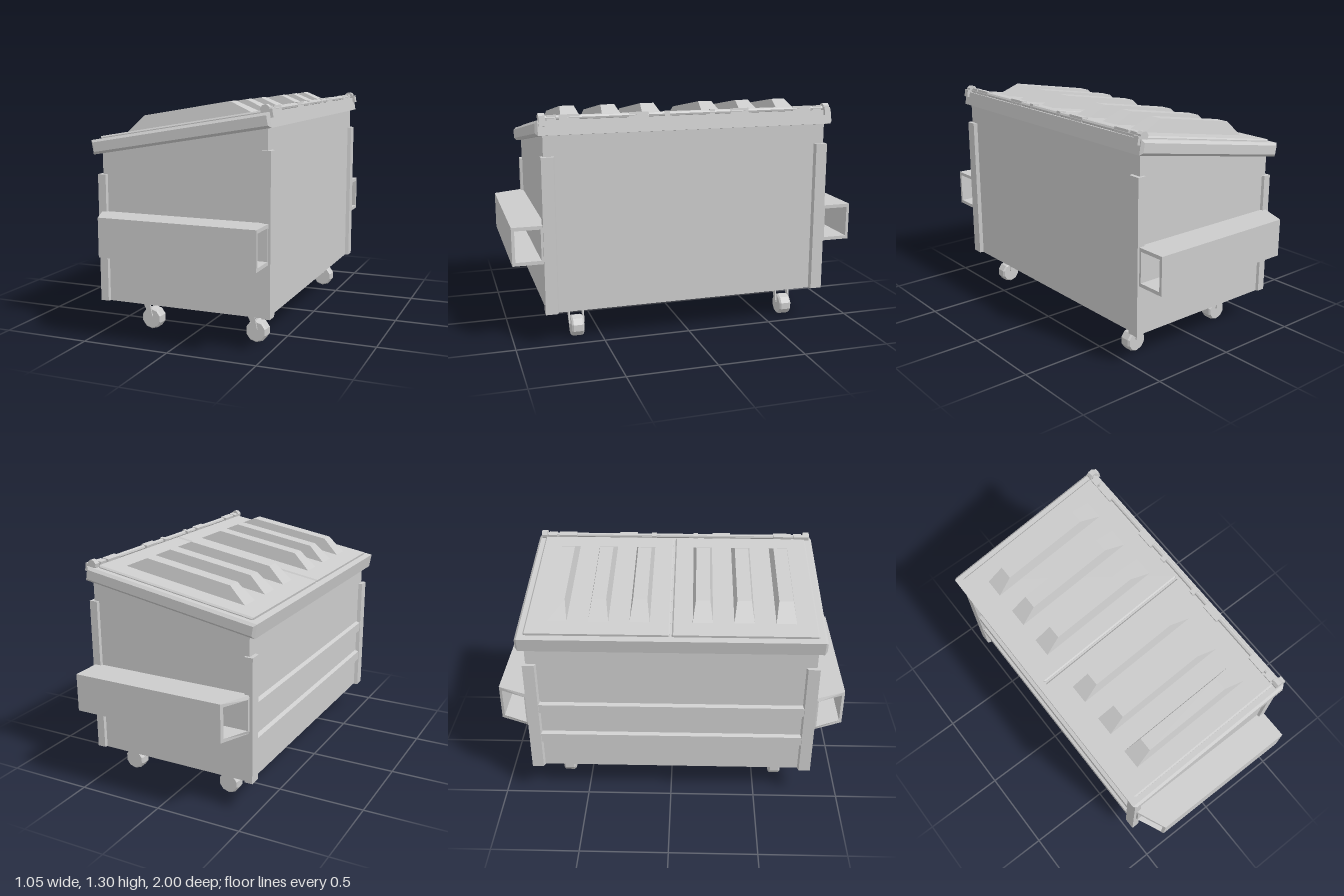
import * as THREE from 'three';

const mat = new THREE.MeshStandardMaterial({ color: 0xcccccc, flatShading: true, side: THREE.DoubleSide });

function add(parent, name, geo, x = 0, y = 0, z = 0) {
  const m = new THREE.Mesh(geo, mat);
  m.name = name;
  m.position.set(x, y, z);
  parent.add(m);
  return m;
}

const box = (w, h, d) => new THREE.BoxGeometry(w, h, d);
const poly = (pts) => new THREE.Shape(pts.map(([x, y]) => new THREE.Vector2(x, y)));
const prism = (pts, depth) =>
  new THREE.ExtrudeGeometry(poly(pts), { depth, bevelEnabled: false }).translate(0, 0, -depth / 2);

// Slab with a single chamfer on every edge, centred on the origin
function chamferSlab(w, h, d, c) {
  const a = w / 2 - c, b = h / 2 - c;
  return new THREE.ExtrudeGeometry(poly([[-a, -b], [a, -b], [a, b], [-a, b]]), {
    depth: d - 2 * c, bevelSize: c, bevelThickness: c, bevelSegments: 1,
  }).translate(0, 0, -d / 2 + c);
}

// Box whose upper four corners are moved to a smaller rectangle
function taperedRib(x0, x1, tx0, tx1, halfBase, halfTop, y0, y1) {
  const g = box(1, 1, 1), p = g.attributes.position;
  for (let i = 0; i < p.count; i++) {
    const top = p.getY(i) > 0, right = p.getX(i) > 0;
    p.setXYZ(i, top ? (right ? tx1 : tx0) : (right ? x1 : x0), top ? y1 : y0,
      Math.sign(p.getZ(i)) * (top ? halfTop : halfBase));
  }
  g.computeVertexNormals();
  return g;
}

// Corner angle iron in plan (x, outward z), extruded upward
function cornerPost(xOut, dir, height, side) {
  const t = 0.022, xs = 0.055, zs = 0.075, z = 0.83;
  const plan = [[0, z], [xs - 0.008, z], [xs, z - t], [t, z - t], [t, z - zs], [0, z - zs + 0.008]];
  const pts = plan.map(([x, v]) => [xOut - dir * x, -side * v]);
  if (dir * side < 0) pts.reverse();
  return new THREE.ExtrudeGeometry(poly(pts), { depth: height, bevelEnabled: false }).rotateX(-Math.PI / 2);
}

// Hollow fork pocket along x, with its low-side mouth cut at an angle
function forkPocket(side) {
  const outer = poly([[0.815, 0.48], [1, 0.48], [1, 0.695], [0.815, 0.695]]);
  outer.holes.push(poly([[0.842, 0.5], [0.842, 0.675], [0.983, 0.675], [0.983, 0.5]]));
  const g = new THREE.ExtrudeGeometry(outer, { depth: 1, bevelEnabled: false });
  const p = g.attributes.position;
  for (let i = 0; i < p.count; i++) {
    const z = p.getX(i), y = p.getY(i), end = p.getZ(i) > 0.5;
    p.setXYZ(i, end ? -0.475 + Math.max(0, z - 0.83) * 0.47 : 0.5, y, z);
  }
  if (side < 0) {
    for (let i = 0; i < p.count; i++) p.setZ(i, -p.getZ(i));
    // restore the corner order after mirroring
    for (let i = 0; i < p.count; i += 3) {
      const b = new THREE.Vector3().fromBufferAttribute(p, i + 1);
      const c = new THREE.Vector3().fromBufferAttribute(p, i + 2);
      p.setXYZ(i + 1, c.x, c.y, c.z);
      p.setXYZ(i + 2, b.x, b.y, b.z);
    }
  }
  g.computeVertexNormals();
  return g;
}

function caster(x, z) {
  const g = new THREE.Group();
  g.name = 'caster';
  g.position.set(x, 0, z);
  add(g, 'casterPlate', box(0.135, 0.014, 0.125), 0, 0.183, 0);
  for (const s of [-1, 1]) {
    add(g, 'casterFork', prism([[-0.03, 0.178], [0.036, 0.076], [0.038, 0.076], [0.038, 0.08], [0.018, 0.178]]
      .map(([a, b], i) => (i === 1 ? [0.018, 0.08] : [a, b])), 0.008), 0, 0, s * 0.041);
  }
  // Ten-sided wheel with chamfered rims
  const r = 0.062, w = 0.036;
  const profile = [[0, -w], [r - 0.008, -w], [r, -w + 0.01], [r, w - 0.01], [r - 0.008, w], [0, w]];
  const wheel = new THREE.LatheGeometry(profile.map(([a, b]) => new THREE.Vector2(a, b)), 10);
  add(g, 'casterWheel', wheel.rotateX(Math.PI / 2), 0.028, 0.063, 0);
  const axle = new THREE.CylinderGeometry(0.01, 0.01, 0.088, 8).rotateX(Math.PI / 2);
  add(g, 'casterAxle', axle, 0.028, 0.085, 0);
  return g;
}

export function createModel() {
  const model = new THREE.Group();
  model.name = 'wasteContainer';

  // Body with sloping top
  add(model, 'body', prism([[-0.465, 0.19], [0.49, 0.19], [0.49, 1.21], [-0.465, 1.05]], 1.63));

  // Stiffening ribs on the low wall
  for (const y of [0.4, 0.605]) {
    add(model, 'wallRib', prism([[-0.46, y - 0.04], [-0.46, y + 0.04], [-0.486, y + 0.028], [-0.486, y - 0.028]], 1.53));
  }

  for (const side of [-1, 1]) {
    add(model, 'lowCornerPost', cornerPost(-0.49, -1, 0.71, side), 0, 0.19, 0);
    add(model, 'highCornerPost', cornerPost(0.512, 1, 0.876, side), 0, 0.19, 0);
    add(model, 'forkPocket', forkPocket(side));
    for (const x of [-0.288, 0.347]) model.add(caster(x, side * 0.638));
  }

  // Everything on the tilted top shares one frame
  const top = new THREE.Group();
  top.name = 'lidAssembly';
  top.position.y = 1.135;
  top.rotation.z = 0.17;
  model.add(top);
  add(top, 'rim', chamferSlab(1.04, 0.08, 1.71, 0.014));

  for (const side of [-1, 1]) {
    add(top, 'lid', chamferSlab(0.95, 0.03, 0.805, 0.008), -0.005, 0.038, side * 0.408);
    for (const z of [0.175, 0.405, 0.637]) {
      add(top, 'lidRib', taperedRib(-0.375, 0.372, -0.262, 0.253, 0.057, 0.04, 0.05, 0.127), 0, 0, side * z);
    }
    // Hinge knuckles and end brackets
    for (const [z, len] of [[0.29, 0.11], [0.67, 0.11], [0.13, 0.03], [0.765, 0.05]]) {
      add(top, 'hingeKnuckle', box(0.04, 0.036, len), 0.488, 0.05, side * z);
    }
    const end = new THREE.CylinderGeometry(0.027, 0.027, 0.035, 8).rotateX(Math.PI / 2).rotateZ(Math.PI / 8);
    add(top, 'hingeEnd', end, 0.497, 0.054, side * 0.818);
    add(top, 'hingeBracket', box(0.035, 0.045, 0.035), 0.518, 0.032, side * 0.818);
  }
  add(top, 'hingeRod', new THREE.CylinderGeometry(0.014, 0.014, 1.65, 8).rotateX(Math.PI / 2), 0.495, 0.052, 0);

  return model;
}
